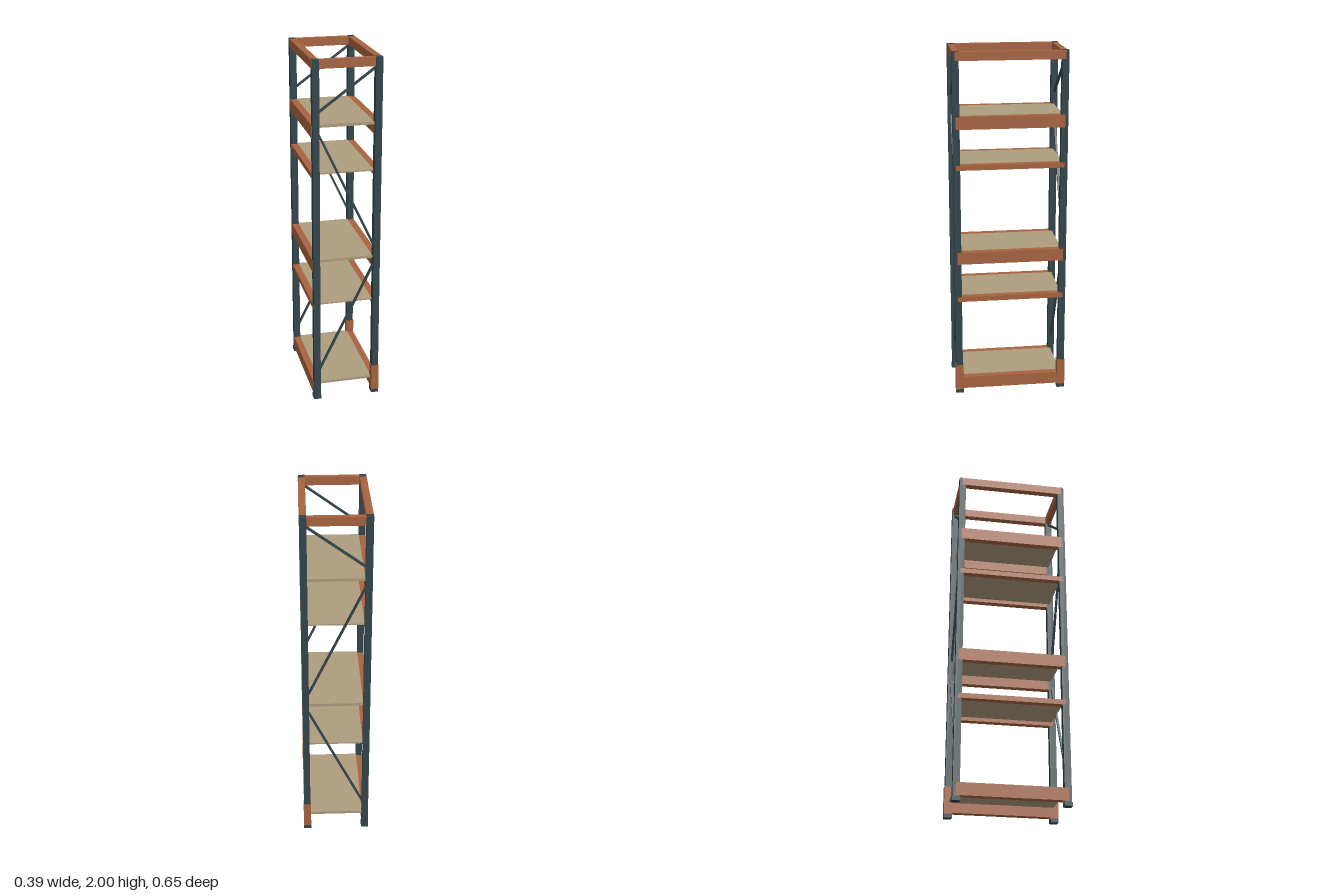
import * as THREE from 'three';

export function createModel() {
  const model = new THREE.Group();
  model.name = 'storageRack';
  const mat = (name, color) => {
    const m = new THREE.MeshStandardMaterial({ color });
    m.name = name;
    return m;
  };
  const steel = mat('dark steel', 0x33464b);
  const orange = mat('orange paint', 0xa86440);
  const board = mat('shelf board', 0xad9c7e);

  // Box given by its limits on each axis
  const box = (name, material, [x0, x1], [y0, y1], [z0, z1]) => {
    const mesh = new THREE.Mesh(new THREE.BoxGeometry(x1 - x0, y1 - y0, z1 - z0), material);
    mesh.position.set((x0 + x1) / 2, (y0 + y1) / 2, (z0 + z1) / 2);
    mesh.name = name;
    model.add(mesh);
    return mesh;
  };
  // Box given by its centre and size in plan
  const column = (name, material, x, z, w, d, y) =>
    box(name, material, [x - w / 2, x + w / 2], y, [z - d / 2, z + d / 2]);

  const PX = 0.172, PZ = 0.3;

  // Posts, feet, and guards on the left-hand posts
  for (const sx of [-1, 1]) {
    for (const sz of [-1, 1]) {
      column('post', steel, sx * PX, sz * PZ, 0.038, 0.038, [0.01, 2]);
      column('foot', steel, sx * PX, sz * PZ, 0.043, 0.045, [0, 0.022]);
      if (sx > 0) column('postGuard', orange, PX, sz * PZ, 0.044, 0.046, [0.022, 0.176]);
    }
  }

  // Long beams: [top, height]; the first belongs to the top frame
  const beams = [[1.999, 0.048], [1.647, 0.07], [1.377, 0.029], [0.87, 0.07], [0.602, 0.029], [0.099, 0.071]];
  for (const [top, h] of beams) {
    for (const sx of [-1, 1]) {
      column('longBeam', orange, sx * 0.1725, 0, 0.039, 0.606, [top - h, top]);
    }
  }

  // Short rails closing the top frame
  for (const sz of [-1, 1]) {
    column('endRail', orange, 0, sz * 0.298, 0.308, 0.032, [1.951, 1.999]);
  }

  // Shelf boards: [top, thickness]
  for (const [top, t] of [[1.647, 0.016], [1.378, 0.008], [0.87, 0.016], [0.603, 0.008], [0.1, 0.016]]) {
    column('shelf', board, 0, 0, 0.308, 0.59, [top - t, top]);
  }

  // Diagonal braces at both ends: heights at the right and left posts
  for (const [yRight, yLeft] of [[1.717, 1.943], [1.595, 0.94], [0.185, 0.815]]) {
    const dx = 0.31, dy = yLeft - yRight;
    for (const sz of [-1, 1]) {
      const brace = new THREE.Mesh(new THREE.BoxGeometry(Math.hypot(dx, dy), 0.012, 0.012), steel);
      brace.position.set(0, (yRight + yLeft) / 2, sz * PZ);
      brace.rotation.z = Math.atan2(dy, dx);
      brace.name = 'diagonalBrace';
      model.add(brace);
    }
  }
  return model;
}
